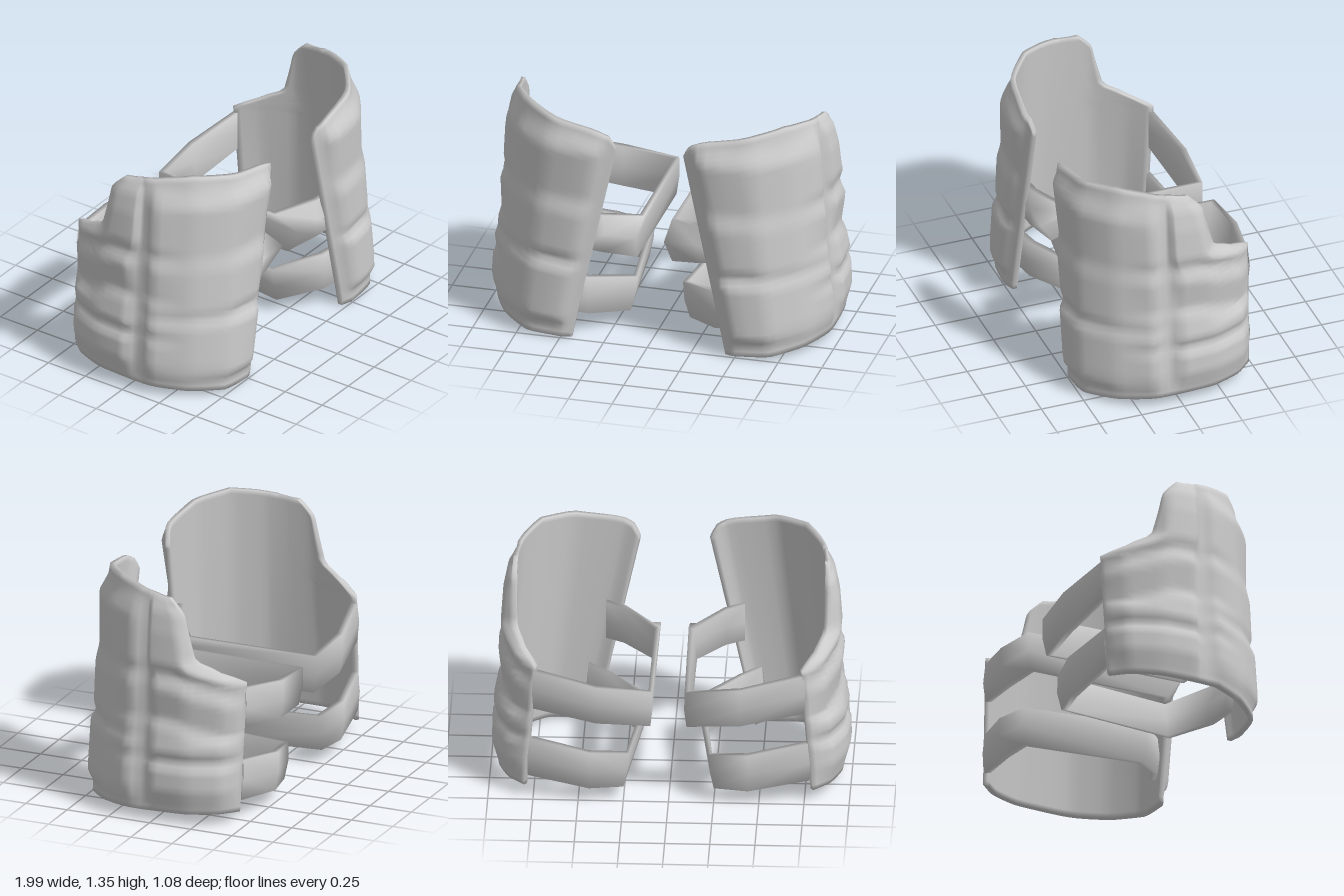
import * as THREE from 'three';

const steel = new THREE.MeshStandardMaterial({ color: 0xcccccc });
steel.name = 'pale grey';
const lerp = THREE.MathUtils.lerp;

// piecewise linear lookup in a list of [key, value]
function table(list, k) {
  if (k <= list[0][0]) return list[0][1];
  for (let i = 1; i < list.length; i++) {
    const [a, va] = list[i - 1], [b, vb] = list[i];
    if (k <= b) return lerp(va, vb, (k - a) / (b - a));
  }
  return list[list.length - 1][1];
}

// smooth closed solid through rings; each ring runs out along one face and back along the other
function loft(rings, side) {
  const n = rings[0].length, pos = [], index = [];
  rings.forEach(r => r.forEach(p => pos.push(p[0] * side, p[1], p[2])));
  const tri = (a, b, c) => side > 0 ? index.push(a, b, c) : index.push(a, c, b);
  const quad = (a, b, c, d) => { tri(a, b, c); tri(a, c, d); };
  for (let k = 0; k < rings.length - 1; k++)
    for (let i = 0; i < n; i++) {
      const j = (i + 1) % n;
      quad(k * n + i, k * n + j, (k + 1) * n + j, (k + 1) * n + i);
    }
  const top = (rings.length - 1) * n;
  for (let i = 0; i < n / 2 - 1; i++) {
    quad(top + i, top + i + 1, top + n - 2 - i, top + n - 1 - i);
    quad(n - 1 - i, n - 2 - i, i + 1, i);
  }
  const g = new THREE.BufferGeometry();
  g.setAttribute('position', new THREE.Float32BufferAttribute(pos, 3));
  g.setIndex(index);
  g.computeVertexNormals();
  return g;
}

function outward(x, z) {
  const dx = x - 0.45, dz = z + 0.02, l = Math.hypot(dx, dz);
  return [dx / l, dz / l];
}

// plan of the guard at its foot and top, from inner front edge round to the back edge
const plan = pts => new THREE.CatmullRomCurve3(pts.map(([x, z]) => new THREE.Vector3(x, 0, z)), false, 'catmullrom', 0.3);
const footPlan = plan([[0.44, 0.47], [0.51, 0.5], [0.7, 0.48], [0.86, 0.33], [0.95, 0.15], [0.96, 0], [0.95, -0.2], [0.89, -0.36], [0.8, -0.46]]);
const topPlan = plan([[0.19, 0.44], [0.28, 0.47], [0.55, 0.44], [0.74, 0.3], [0.84, 0.13], [0.87, 0], [0.87, -0.15], [0.78, -0.35], [0.7, -0.485]]);
const footY = [[0, 0], [2, 0.02], [4, 0.055], [8, 0.07]];
const topY = [[0, 1.17], [0.5, 1.24], [2, 1.315], [3, 1.345], [4, 1.32], [5.5, 1.29], [8, 1.28]];
const backEnd = [[0.82, 8], [0.88, 6.95], [0.94, 6.35], [1.2, 6.05], [1.29, 5.5]];
// swelling of the front and side panels with height
const frontSwell = [[0.03, 0], [0.08, 0], [0.13, 0.04], [0.43, 0.047], [0.48, 0.008], [0.53, 0.033], [0.77, 0.045], [0.86, 0.023], [1.16, 0.055], [1.26, 0], [1.34, 0]];
const frontMean = [[0.03, 0], [0.2, 0.03], [0.8, 0.03], [1.16, 0.04], [1.34, 0]];
const sideSwell = [[0.07, 0], [0.2, 0.045], [0.32, 0.05], [0.36, 0.02], [0.42, 0.05], [0.55, 0.035], [0.6, 0.012], [0.78, 0.05], [0.86, 0.022], [0.92, 0.045], [1.1, 0.045], [1.22, 0.03], [1.3, -0.01]];
const frontWeight = [[0, 0], [0.6, 0.1], [1.2, 1], [3, 1], [4, 0.6], [4.4, 0.2], [4.6, 0]];
const panelDepth = [[1.5, 1], [2.2, 0.6], [3, 0.4]];
const sideWeight = [[3.2, 0], [4.1, 0.6], [4.4, 0], [4.7, 0.2], [5, 1], [7, 1], [7.5, 0.6], [8, 0]];

function guard(side) {
  const rings = [], rows = 44;
  for (let k = 0; k <= rows; k++) {
    const t = k / rows, end = table(backEnd, 0.07 + 1.22 * t);
    const outer = [], inner = [];
    for (let f = 0; f <= 8.01; f += 0.25) {
      const s = f <= 4.5 ? f : 4.5 + (f - 4.5) * (end - 4.5) / 3.5;
      const p = footPlan.getPoint(Math.min(s / 8, 1)).lerp(topPlan.getPoint(Math.min(s / 8, 1)), t);
      const y = lerp(table(footY, s), table(topY, s), t);
      const [nx, nz] = outward(p.x, p.z);
      // the upper folds sweep down towards the back
      const fold = y + (y > 0.5 ? 0.35 * Math.max(0, -p.z - 0.1) : 0);
      const front = lerp(table(frontMean, y), table(frontSwell, y), table(panelDepth, f));
      const swell = front * table(frontWeight, f) + table(sideSwell, fold) * table(sideWeight, f);
      outer.push([p.x + nx * swell, y, p.z + nz * swell]);
      inner.unshift([p.x - nx * 0.025, y, p.z - nz * 0.025]);
    }
    rings.push([...outer, ...inner]);
  }
  const mesh = new THREE.Mesh(loft(rings, side), steel);
  mesh.name = 'shinGuard';
  return mesh;
}

// strap stations from the front round to the back: bottom, top and, where it is folded, middle
const upperStrap = [
  [[0.38, 0.54, 0.45], [0.38, 0.76, 0.45]],
  [[0.27, 0.52, 0.43], [0.27, 0.74, 0.42]],
  [[0.1, 0.47, 0.34], [0.08, 0.69, 0.27], [0.08, 0.63, 0.44]],
  [[0.1, 0.47, -0.5], [0.09, 0.69, -0.52]],
  [[0.4, 0.49, -0.52], [0.4, 0.72, -0.54]],
  [[0.75, 0.55, -0.47], [0.75, 0.78, -0.47]],
];
const lowerStrap = [
  [[0.5, 0.15, 0.45], [0.48, 0.37, 0.45]],
  [[0.36, 0.12, 0.4], [0.36, 0.34, 0.4]],
  [[0.17, 0.08, 0.22], [0.13, 0.29, 0.22]],
  [[0.25, 0.08, -0.48], [0.22, 0.29, -0.49]],
  [[0.44, 0.08, -0.51], [0.44, 0.31, -0.53]],
  [[0.78, 0.13, -0.46], [0.77, 0.36, -0.465]],
];

function strap(stations, side, name) {
  const push = (p, d) => {
    const [nx, nz] = outward(p[0], p[2]);
    return [p[0] + nx * d, p[1], p[2] + nz * d];
  };
  const rings = stations.map(([low, high, fold]) => {
    const mid = low.map((v, i) => (v + high[i]) / 2);
    return [low, fold ?? push(mid, 0.012), high, push(high, -0.035), push(mid, -0.035), push(low, -0.035)];
  });
  const mesh = new THREE.Mesh(loft(rings, side), steel);
  mesh.name = name;
  return mesh;
}

export function createModel() {
  const model = new THREE.Group();
  model.name = 'shinGuardPair';
  for (const side of [1, -1]) {
    const leg = new THREE.Group();
    leg.name = side > 0 ? 'leftGuard' : 'rightGuard';
    leg.add(guard(side), strap(upperStrap, side, 'upperStrap'), strap(lowerStrap, side, 'lowerStrap'));
    model.add(leg);
  }
  return model;
}
